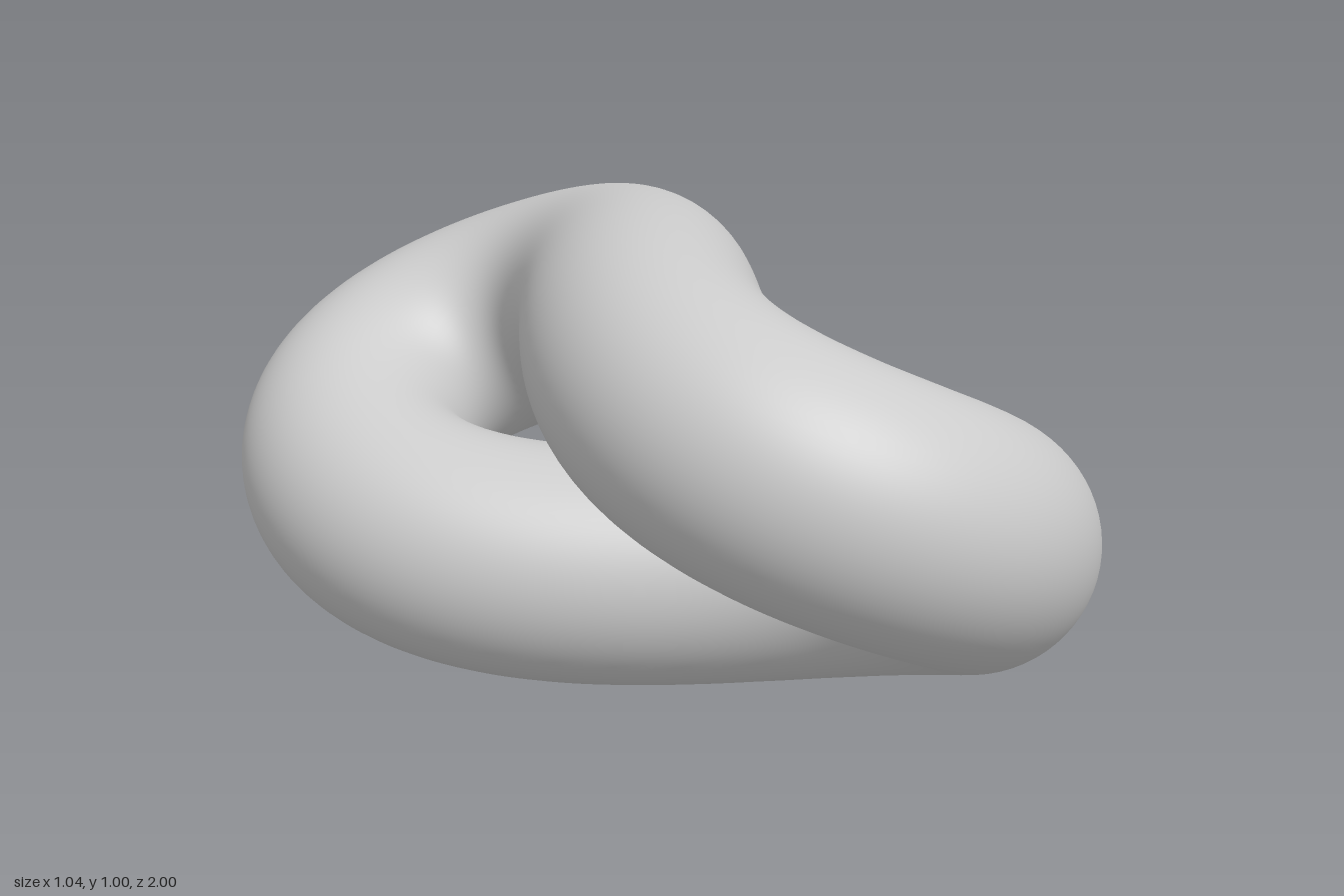
import * as THREE from 'three';

// Closed figure-eight centreline whose two strands cross one above the other
class FigureEightCurve extends THREE.Curve {
  getPoint(u, target = new THREE.Vector3()) {
    const t = u * Math.PI * 2;
    return target.set(
      -0.275 * Math.sin(2 * t),
      0.501 + 0.255 * Math.sin(t),
      0.709 * Math.cos(t) + 0.045 * Math.cos(3 * t)
    );
  }
}

export function createModel() {
  const group = new THREE.Group();
  group.name = 'figureEight';

  // Thick round tube swept along the loop
  const tubeRadius = 0.246;
  const geometry = new THREE.TubeGeometry(new FigureEightCurve(), 240, tubeRadius, 64, true);
  const material = new THREE.MeshStandardMaterial({ color: 0xcccccc });
  const loop = new THREE.Mesh(geometry, material);
  loop.name = 'twistedLoop';
  group.add(loop);

  return group;
}
